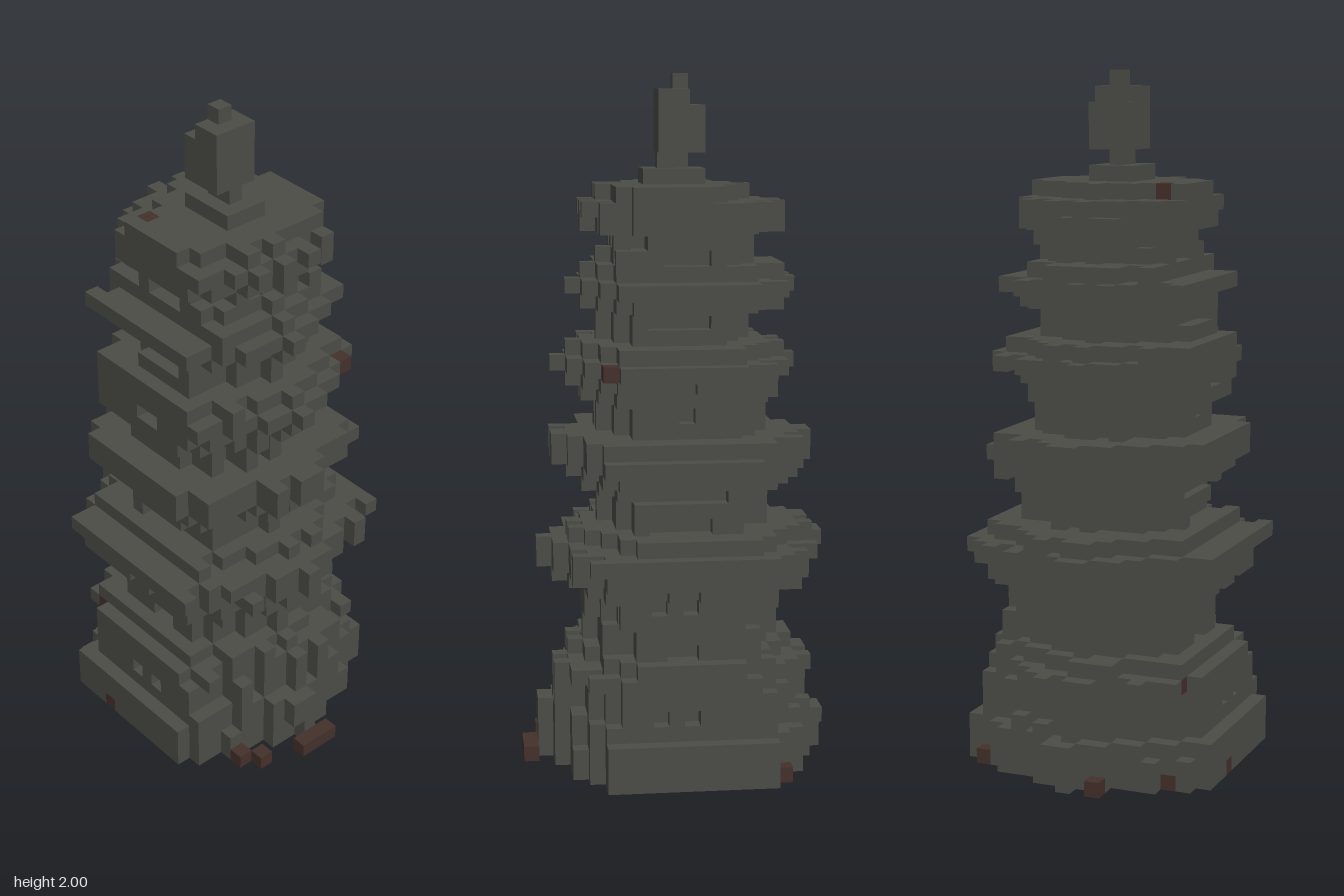
import * as THREE from 'three';

const U = 2 / 45; // block size

// One row per block layer: left point, right point, front reach, back reach.
const BASE = [
  [-10, 9, 8, 8], [-10, 9, 8, 8], [-10, 9, 8, 8], [-9, 9, 7, 7],
  [-9, 8, 7, 7], [-9, 8, 7, 7], [-9, 8, 7, 7], [-8, 7, 6, 7],
];
const STOREYS = [
  ['firstStorey', [[-7, 6, 5, 6], [-7, 6, 5, 6], [-7, 6, 5, 6], [-7, 6, 6, 6],
    [-9, 8, 7, 7], [-9, 9, 7, 8], [-10, 9, 8, 8], [-9, 7, 6, 7]]],
  ['secondStorey', [[-6, 5, 5, 5], [-6, 5, 5, 5], [-7, 6, 5, 5],
    [-8, 7, 6, 6], [-9, 8, 7, 7], [-9, 8, 7, 6]]],
  ['thirdStorey', [[-6, 5, 5, 4], [-6, 5, 5, 4], [-7, 6, 6, 4],
    [-7, 7, 6, 5], [-8, 8, 6, 7], [-7, 7, 6, 6]]],
  ['fourthStorey', [[-5, 5, 5, 4], [-5, 5, 5, 4], [-7, 6, 5, 5],
    [-8, 7, 6, 6], [-7, 6, 4, 4]]],
  ['topStorey', [[-5, 5, 4, 4], [-5, 4, 4, 4], [-7, 6, 5, 5], [-7, 6, 5, 5], [-5, 5, 5, 5]]],
];

// Openings one block deep in the front and back walls: layer, first x, last x
const NOTCHES = [
  [4, -1, -1], [4, 1, 1], [8, -1, 0], [11, -1, -1], [11, 1, 1], [12, -1, -1], [12, 1, 1],
  [16, -2, 1], [18, -3, 2], [23, -1, -1], [25, -1, 0], [29, -2, 1], [33, -2, 0],
];

// Rust patches: x, layer, z
const RUST = [
  [-3, 0, 8], [9, 0, -1], [9, 0, 1], [-10, 0, 2], [-7, 0, -7], [-7, 0, 6], [8, 0, 4], [7, 0, 5],
  [9, 0, 0], [-6, 6, 6], [-7, 8, 2], [4, 9, 5], [-8, 15, 3], [-6, 16, 1], [-3, 37, 4],
  [7, 26, -1], [7, 26, -2], [7, 26, -3], [6, 8, 2], [7, 5, -5], [4, 26, -6], [6, 23, -1],
];

const hash = (x, y, z) => {
  const s = Math.sin(x * 12.99 + y * 78.23 + z * 37.72) * 43758.55;
  return s - Math.floor(s);
};
const key = (x, y, z) => `${x},${y},${z}`;

// Six faces: normal and four corners counter-clockwise from outside
const FACES = [
  [[1, 0, 0], [[1, 0, 1], [1, 0, 0], [1, 1, 0], [1, 1, 1]]],
  [[-1, 0, 0], [[0, 0, 0], [0, 0, 1], [0, 1, 1], [0, 1, 0]]],
  [[0, 1, 0], [[0, 1, 1], [1, 1, 1], [1, 1, 0], [0, 1, 0]]],
  [[0, -1, 0], [[0, 0, 0], [1, 0, 0], [1, 0, 1], [0, 0, 1]]],
  [[0, 0, 1], [[0, 0, 1], [1, 0, 1], [1, 1, 1], [0, 1, 1]]],
  [[0, 0, -1], [[1, 0, 0], [0, 0, 0], [0, 1, 0], [1, 1, 0]]],
];

// Outer faces of a list of blocks, skipping those hidden by neighbours
function blockGeometry(cells, filled) {
  const pos = [], nor = [], idx = [];
  for (const [x, y, z] of cells) {
    for (const [n, corners] of FACES) {
      if (filled.has(key(x + n[0], y + n[1], z + n[2]))) continue;
      const s = pos.length / 3;
      for (const c of corners) {
        pos.push((x + c[0]) * U, (y + c[1]) * U, (z - 0.5 + c[2]) * U);
        nor.push(...n);
      }
      idx.push(s, s + 1, s + 2, s, s + 2, s + 3);
    }
  }
  const g = new THREE.BufferGeometry();
  g.setAttribute('position', new THREE.Float32BufferAttribute(pos, 3));
  g.setAttribute('normal', new THREE.Float32BufferAttribute(nor, 3));
  g.setIndex(idx);
  return g;
}

export function createModel() {
  const group = new THREE.Group();
  const stone = new THREE.MeshStandardMaterial({ color: 0x4c4c47 });
  const rust = new THREE.MeshStandardMaterial({ color: 0x44302a });
  const filled = new Set();
  const parts = [];
  const rustKeys = new Set(RUST.map((r) => key(...r)));
  for (const r of RUST) if (r[1] === 0) filled.add(key(...r));

  // Six-sided layers, flat at front and back, stepped on the slanted sides
  const addLayers = (name, layers, y0) => {
    const cells = [];
    layers.forEach(([l, r, front, back], j) => {
      const y = y0 + j;
      for (let z = -back; z <= front; z++) {
        const slope = 0.55 * Math.abs(z);
        for (let x = l; x < r; x++) {
          const c = x + 0.5;
          // ragged blocks along the slanted sides
          const rag = Math.abs(z) > 0 && hash(x, y >> 1, z) < 0.3 ? (y < 3 ? 0.4 : 1) : 0;
          if (c < l + slope - rag || c > r - slope + rag) continue;
          // hollow underside that narrows upward
          const t = 2 + y * 0.75;
          if (y < 6 && c > l + t + slope && c < r - t - slope && Math.abs(z) < 8 - t) continue;
          const cut = NOTCHES.some(([ny, a, b]) => ny === y && x >= a && x <= b);
          if (cut && (z === front || z === -back)) continue;
          cells.push([x, y, z]);
        }
      }
    });
    parts.push([name, cells]);
    return y0 + layers.length;
  };
  let y = addLayers('base', BASE, 0);
  for (const [name, layers] of STOREYS) y = addLayers(name, layers, y);

  // Finial: x from, x to, z reach, first layer, last layer
  const finial = [];
  for (const [a, b, d, y0, y1] of [
    [-2, 2, 1, 38, 38], [-1, 1, 0, 39, 39], [-2, 1, 1, 40, 42], [-1, 1, 1, 43, 43], [-1, 0, 0, 44, 44],
  ]) {
    for (let k = y0; k <= y1; k++)
      for (let x = a; x < b; x++) for (let z = -d; z <= d; z++) finial.push([x, k, z]);
  }
  parts.push(['finial', finial]);

  // Rust on listed blocks and scattered over the hollow underside
  const isRust = ([x, k, z]) => rustKeys.has(key(x, k, z)) ||
    (k > 0 && k < 7 && Math.abs(x + 0.5) + 0.55 * Math.abs(z) < 6.5 && Math.abs(z) < 6 && hash(x, k, z) < 0.3);
  for (const [, cells] of parts) for (const c of cells) filled.add(key(...c));
  const rusty = RUST.filter((r) => filled.has(key(...r)));
  for (const [name, cells] of parts) {
    const plain = cells.filter((c) => !isRust(c));
    rusty.push(...cells.filter((c) => isRust(c) && !rustKeys.has(key(...c))));
    const mesh = new THREE.Mesh(blockGeometry(plain, filled), stone);
    mesh.name = name;
    group.add(mesh);
  }
  const patches = new THREE.Mesh(blockGeometry(rusty, filled), rust);
  patches.name = 'rustPatches';
  group.add(patches);
  return group;
}
